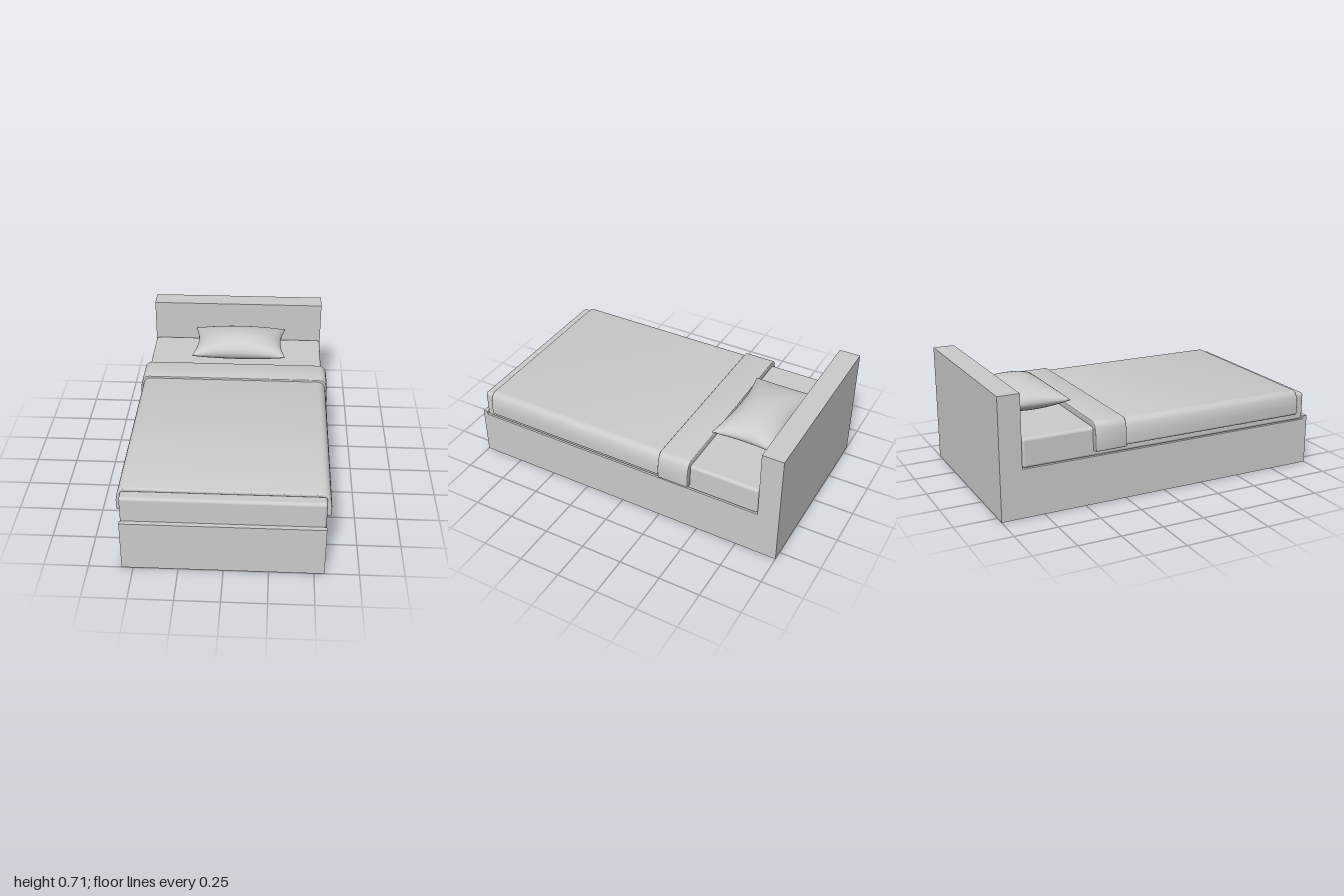
import * as THREE from 'three';
import { toCreasedNormals } from 'three/addons/utils/BufferGeometryUtils.js';
import { RoundedBoxGeometry } from 'three/addons/geometries/RoundedBoxGeometry.js';

const material = new THREE.MeshStandardMaterial({ color: 0xcccccc });

function addPart(parent, name, geometry, x = 0, y = 0, z = 0) {
  const mesh = new THREE.Mesh(geometry, material);
  mesh.name = name;
  mesh.position.set(x, y, z);
  parent.add(mesh);
  return mesh;
}

// Bed frame: one side profile (z, y) with footboard lip and headboard, swept across x
function frameGeometry(width) {
  const profile = [[-1, 0], [1, 0], [1, 0.305], [0.972, 0.305], [0.972, 0.285],
    [-0.872, 0.285], [-0.872, 0.71], [-1, 0.71]];
  const shape = new THREE.Shape(profile.map(([z, y]) => new THREE.Vector2(-z, y)));
  const geometry = new THREE.ExtrudeGeometry(shape, { depth: width, bevelEnabled: false });
  geometry.translate(0, 0, -width / 2).rotateY(Math.PI / 2);
  return geometry;
}

// Cloth hanging over the mattress: an upside-down U swept along z with softened ends
function drapeGeometry(halfWidth, top, hem, zBack, zFront, bevel) {
  const w = halfWidth, inner = 0.556, under = 0.452;
  const shape = new THREE.Shape();
  shape.moveTo(-w + 0.006, hem);
  shape.lineTo(-inner, hem);
  shape.lineTo(-inner, under - 0.02);
  shape.quadraticCurveTo(-inner, under, -inner + 0.02, under);
  shape.lineTo(inner - 0.02, under);
  shape.quadraticCurveTo(inner, under, inner, under - 0.02);
  shape.lineTo(inner, hem);
  shape.lineTo(w - 0.006, hem);
  shape.quadraticCurveTo(w, hem, w, hem + 0.012);
  shape.lineTo(w, 0.39);
  shape.quadraticCurveTo(w - 0.004, top - 0.04, w - 0.016, top - 0.02);
  shape.quadraticCurveTo(w - 0.03, top, w - 0.055, top);
  shape.lineTo(-w + 0.055, top);
  shape.quadraticCurveTo(-w + 0.03, top, -w + 0.016, top - 0.02);
  shape.quadraticCurveTo(-w + 0.004, top - 0.04, -w, 0.39);
  shape.lineTo(-w, hem + 0.012);
  shape.quadraticCurveTo(-w, hem, -w + 0.006, hem);
  const geometry = new THREE.ExtrudeGeometry(shape, {
    depth: zFront - zBack - 2 * bevel, curveSegments: 6, bevelEnabled: true,
    bevelThickness: bevel, bevelSize: bevel, bevelOffset: -bevel, bevelSegments: 3,
  });
  geometry.translate(0, 0, zBack + bevel);
  return toCreasedNormals(geometry, 0.7);
}

// Half of the pillow: a grid puffed up or down, its sides pulled in between the corners
function pillowHalf(side, height) {
  const geometry = new THREE.PlaneGeometry(2, 2, 36, 28);
  geometry.rotateX(-side * Math.PI / 2);
  const p = geometry.attributes.position;
  for (let i = 0; i < p.count; i++) {
    const u = Math.sin(p.getX(i) * Math.PI / 2);
    const v = Math.sin(p.getZ(i) * Math.PI / 2);
    const puff = Math.max(0, (1 - u * u) * (1 - v * v)) ** 0.47;
    p.setXYZ(i,
      0.302 * u * (1 - 0.1 * (1 - v * v)),
      side * height * puff,
      0.195 * v * (1 - 0.18 * (1 - u * u)));
  }
  geometry.computeVertexNormals();
  return geometry;
}

export function createModel() {
  const bed = new THREE.Group();
  bed.name = 'bed';

  addPart(bed, 'bedFrame', frameGeometry(1.122), -0.003);
  addPart(bed, 'mattress', new RoundedBoxGeometry(1.118, 0.17, 1.838, 4, 0.018), -0.003, 0.37, 0.05);

  // Bedding
  addPart(bed, 'blanket', drapeGeometry(0.585, 0.476, 0.33, -0.43, 0.908, 0.008), -0.002);
  addPart(bed, 'blanketFold', drapeGeometry(0.595, 0.488, 0.322, -0.452, -0.262, 0.003), -0.002);

  const pillow = new THREE.Group();
  pillow.name = 'pillow';
  pillow.position.set(0.017, 0.535, -0.655);
  addPart(pillow, 'pillowTop', pillowHalf(1, 0.091));
  addPart(pillow, 'pillowBottom', pillowHalf(-1, 0.085));
  bed.add(pillow);

  return bed;
}
